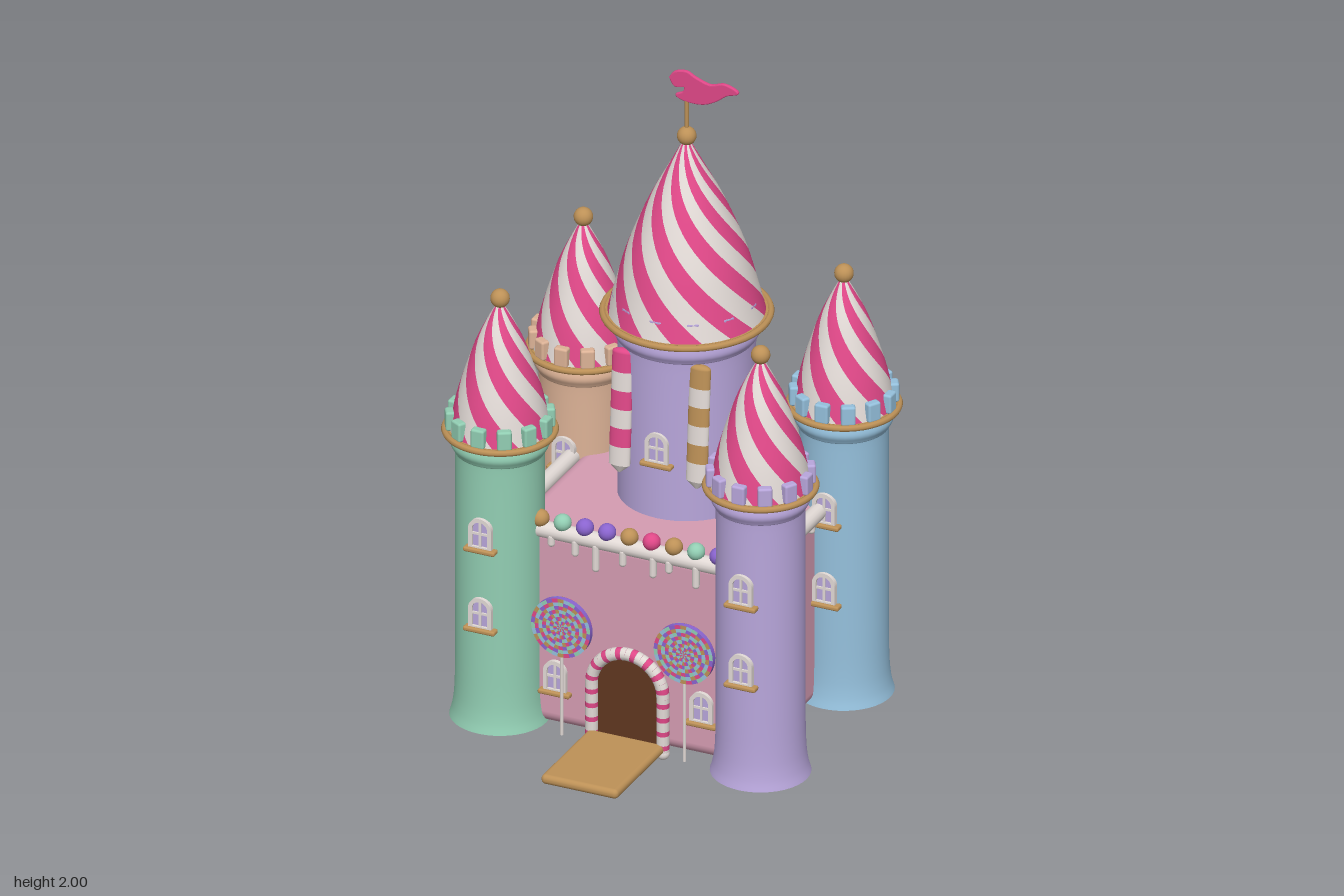
import * as THREE from 'three';
import { mergeGeometries } from 'three/addons/utils/BufferGeometryUtils.js';
import { RoundedBoxGeometry } from 'three/addons/geometries/RoundedBoxGeometry.js';

const colours = {
  candyPink: 0xe04888, cream: 0xe2dad6, gold: 0xbd9157, lilac: 0xb8a6db, mint: 0x92ceb3,
  skyBlue: 0x95c0dc, peach: 0xdcb296, rose: 0xd59cb2, chocolate: 0x603720, violet: 0x8a64cf,
};
const mats = {};
const V2 = (x, y) => new THREE.Vector2(x, y);
const V3 = (x, y, z) => new THREE.Vector3(x, y, z);

function add(parent, name, geo, colour, x = 0, y = 0, z = 0) {
  const m = new THREE.Mesh(geo, mats[colour]);
  m.name = name;
  m.position.set(x, y, z);
  parent.add(m);
  return m;
}
const smooth = (pts, n) => new THREE.SplineCurve(pts.map(p => V2(...p))).getPoints(n);

// Arched outline standing on y = 0
function archShape(w, h, Type = THREE.Shape, y0 = 0) {
  const s = new Type(), r = w / 2;
  s.moveTo(-r, y0);
  s.lineTo(r, y0);
  s.lineTo(r, h - r);
  s.absarc(0, h - r, r, 0, Math.PI, false);
  s.lineTo(-r, y0);
  return s;
}
const extrude = (shape, depth) => new THREE.ExtrudeGeometry(shape, { depth, bevelEnabled: false, curveSegments: 12 });

// Conical roof made of twisted lathe strips in alternating colours
function stripedRoof(parent, profile, pairs, twist) {
  const pts = smooth(profile, 24), y0 = pts[0].y, h = pts[24].y - y0;
  const step = Math.PI / pairs, strips = [[], []];
  for (let i = 0; i < pairs * 2; i++) {
    const g = new THREE.LatheGeometry(pts, 5, i * step, step);
    const p = g.attributes.position, n = g.attributes.normal, v = V3(0, 0, 0), up = V3(0, 1, 0);
    for (let k = 0; k < p.count; k++) {
      const a = twist * (1 - (p.getY(k) - y0) / h);
      v.fromBufferAttribute(p, k).applyAxisAngle(up, a);
      p.setXYZ(k, v.x, v.y, v.z);
      v.fromBufferAttribute(n, k).applyAxisAngle(up, a);
      n.setXYZ(k, v.x, v.y, v.z);
    }
    strips[i % 2].push(g);
  }
  add(parent, 'roofPinkStripes', mergeGeometries(strips[0]), 'candyPink');
  add(parent, 'roofCreamStripes', mergeGeometries(strips[1]), 'cream');
}

// Gold rim and ring of battlements under a roof
function rimAndBattlements(parent, y, radius, blockRadius, colour) {
  add(parent, 'roofRimDisc', new THREE.CylinderGeometry(radius, radius, 0.012, 48), 'gold', 0, y);
  add(parent, 'roofRim', new THREE.TorusGeometry(radius - 0.004, 0.01, 8, 48).rotateX(Math.PI / 2), 'gold', 0, y);
  const blocks = [];
  for (let i = 0; i < 12; i++) {
    const b = new RoundedBoxGeometry(0.042, 0.06, 0.028, 2, 0.007);
    blocks.push(b.translate(0, y + 0.035, blockRadius).rotateY(i * Math.PI / 6));
  }
  add(parent, 'battlements', mergeGeometries(blocks), colour);
}

function archedWindow(parent, x, y, z) {
  const w = new THREE.Group();
  w.name = 'window';
  const frame = archShape(0.072, 0.1);
  frame.holes.push(archShape(0.048, 0.088, THREE.Path, 0.01));
  add(w, 'windowFrame', extrude(frame, 0.022), 'cream', 0, 0, -0.012);
  add(w, 'windowPane', extrude(archShape(0.06, 0.094), 0.008), 'lilac', 0, 0, -0.006);
  add(w, 'windowBarUpright', new THREE.BoxGeometry(0.007, 0.09, 0.008), 'cream', 0, 0.046, 0.003);
  add(w, 'windowBarAcross', new THREE.BoxGeometry(0.055, 0.007, 0.008), 'cream', 0, 0.05, 0.003);
  add(w, 'windowSill', new RoundedBoxGeometry(0.1, 0.015, 0.03, 2, 0.006), 'gold', 0, -0.002, 0.004);
  w.position.set(x, y, z);
  parent.add(w);
}

function cornerTower(parent, x, z, colour) {
  const t = new THREE.Group();
  t.name = 'cornerTower';
  const body = [[0.145, 0.025], [0.136, 0.06], [0.13, 0.12], [0.128, 0.25], [0.128, 0.6], [0.128, 0.85],
    [0.132, 0.875], [0.142, 0.895], [0.142, 0.912], [0.134, 0.935]];
  add(t, 'towerWall', new THREE.LatheGeometry(smooth(body, 40), 40), colour);
  rimAndBattlements(t, 0.938, 0.162, 0.143, colour);
  stripedRoof(t, [[0.146, 0.94], [0.126, 1.04], [0.1, 1.13], [0.069, 1.22], [0.036, 1.29], [0.006, 1.345]], 6, 2.4);
  add(t, 'roofBall', new THREE.SphereGeometry(0.028, 20, 14), 'gold', 0, 1.355);
  for (const y of [0.355, 0.61]) archedWindow(t, 0, y, 0.128);
  t.position.set(x, 0, z);
  parent.add(t);
}

function mainTower(parent) {
  const t = new THREE.Group();
  t.name = 'mainTower';
  const body = [[0.22, 0.025], [0.208, 0.07], [0.2, 0.15], [0.198, 0.4], [0.198, 0.8], [0.198, 1.13],
    [0.203, 1.16], [0.213, 1.18], [0.213, 1.2], [0.205, 1.23]];
  add(t, 'mainTowerWall', new THREE.LatheGeometry(smooth(body, 40), 48), 'lilac');
  rimAndBattlements(t, 1.23, 0.244, 0.198, 'lilac');
  stripedRoof(t, [[0.226, 1.235], [0.204, 1.32], [0.176, 1.42], [0.14, 1.515], [0.1, 1.605], [0.055, 1.69], [0.01, 1.775]], 8, 2.6);
  add(t, 'mainRoofBall', new THREE.SphereGeometry(0.028, 20, 14), 'gold', 0, 1.79);
  add(t, 'flagPole', new THREE.CylinderGeometry(0.006, 0.006, 0.14, 10), 'gold', 0, 1.87);
  // Curling flag
  const outline = [[-0.05, 1.967], [-0.034, 1.987], [0, 1.994], [0.03, 1.98], [0.075, 1.967], [0.12, 1.978], [0.16, 1.962],
    [0.125, 1.948], [0.09, 1.922], [0.05, 1.905], [0, 1.904], [-0.03, 1.915], [-0.008, 1.928], [-0.005, 1.948], [-0.035, 1.945]];
  const flag = new THREE.Shape();
  flag.moveTo(...outline[0]);
  flag.splineThru([...outline.slice(1), outline[0]].map(p => V2(...p)));
  add(t, 'flag', new THREE.ExtrudeGeometry(flag, { depth: 0.004, curveSegments: 48, bevelThickness: 0.004, bevelSize: 0.004, bevelSegments: 3 }), 'candyPink', 0, 0, -0.002);
  archedWindow(t, 0, 0.83, 0.196);
  // Striped candy banners with pointed ends
  for (const [x, colour] of [[-0.123, 'candyPink'], [0.12, 'gold']]) {
    const b = new THREE.Group();
    b.name = 'candyBanner';
    for (let i = 0; i < 6; i++)
      add(b, 'bannerBand', new THREE.CylinderGeometry(0.033, 0.033, 0.058, 20, 1), i % 2 ? 'cream' : colour, 0, -0.029 - i * 0.058);
    add(b, 'bannerTop', new THREE.SphereGeometry(0.033, 20, 8, 0, Math.PI * 2, 0, Math.PI / 2).scale(1, 0.4, 1), colour);
    add(b, 'bannerTip', new THREE.CylinderGeometry(0.033, 0.004, 0.025, 20), 'cream', 0, -0.36);
    b.scale.z = 0.5;
    b.position.set(x, 1.145, 0.164);
    b.rotation.x = -0.07;
    t.add(b);
  }
  t.position.z = -0.19;
  parent.add(t);
}

// Flat sweet with a spiral mosaic on both faces
function lollipop(parent, x) {
  const l = new THREE.Group(), R = 0.093, rings = 8, sectors = 30;
  l.name = 'lollipop';
  const names = ['skyBlue', 'gold', 'candyPink', 'violet', 'mint'], cells = names.map(() => []);
  for (let i = 0; i < rings; i++) for (let j = 0; j < sectors; j++) {
    const a = j / sectors * Math.PI * 2;
    const c = new THREE.RingGeometry(R * i / rings, R * (i + 1) / rings, 2, 1, a, Math.PI * 2 / sectors);
    const k = (j + i * 2) % names.length;
    cells[k].push(c.clone().translate(0, 0, 0.0085), c.rotateY(Math.PI).translate(0, 0, -0.0085));
  }
  names.forEach((n, k) => add(l, 'lollipopSwirl', mergeGeometries(cells[k]), n));
  add(l, 'lollipopEdge', new THREE.CylinderGeometry(R, R, 0.016, 40).rotateX(Math.PI / 2), 'violet');
  add(l, 'lollipopStick', new THREE.CylinderGeometry(0.005, 0.005, 0.27, 8), 'cream', 0, -0.21);
  l.position.set(x, 0.37, 0.235);
  parent.add(l);
}

function keep(parent) {
  add(parent, 'keepWalls', new RoundedBoxGeometry(0.75, 0.63, 0.54, 4, 0.04), 'rose', 0, 0.34, -0.075);
  // Icing along the top edges, with drips
  const bar = (len, alongX) => new THREE.CapsuleGeometry(0.025, len, 6, 16)[alongX ? 'rotateZ' : 'rotateX'](Math.PI / 2);
  for (const z of [-0.367, 0.19]) add(parent, 'icingEdge', bar(0.78, true), 'cream', 0, 0.647, z);
  for (const s of [-1, 1]) add(parent, 'icingEdge', bar(0.55, false), 'cream', s * 0.39, 0.647, -0.09);
  const drip = (x, z, len) => add(parent, 'icingDrip', new THREE.CapsuleGeometry(0.011, len, 4, 10), 'cream', x, 0.635 - len / 2, z);
  [[-0.24, 0.02], [-0.165, 0.035], [-0.1, 0.07], [-0.015, 0.035], [0.08, 0.05], [0.13, 0.025], [0.215, 0.055]].forEach(([x, len]) => {
    drip(x, 0.205, len);
    if (Math.abs(x) > 0.11) drip(x, -0.365, len);
  });
  for (const s of [-1, 1]) [[-0.2, 0.03], [-0.085, 0.075], [-0.02, 0.03], [0.03, 0.04]].forEach(([z, len]) => drip(s * 0.388, z, len));
  // Row of sweets over the entrance
  ['gold', 'mint', 'violet', 'violet', 'gold', 'candyPink', 'gold', 'mint', 'violet'].forEach((c, i) =>
    add(parent, 'sweetBall', new THREE.SphereGeometry(0.026, 20, 14), c, (i - 4) * 0.07, 0.682, 0.193));
  for (const s of [-1, 1]) {
    archedWindow(parent, s * 0.23, 0.138, 0.197);
    lollipop(parent, s * 0.193);
  }
}

function entrance(parent) {
  add(parent, 'door', extrude(archShape(0.2, 0.27), 0.015), 'chocolate', 0, 0.03, 0.192);
  // Striped candy arch
  const path = new THREE.CurvePath(), r = 0.112, top = 0.2, z = 0.207;
  path.add(new THREE.LineCurve3(V3(-r, 0.02, z), V3(-r, top, z)));
  path.add(new THREE.CatmullRomCurve3(Array.from({ length: 17 }, (_, i) => {
    const a = Math.PI * (1 - i / 16);
    return V3(r * Math.cos(a), top + r * Math.sin(a), z);
  })));
  path.add(new THREE.LineCurve3(V3(r, top, z), V3(r, 0.02, z)));
  const n = 48, bands = [[], []];
  for (let i = 0; i < n; i++) {
    const c = new THREE.CatmullRomCurve3([0, 0.5, 1].map(k => path.getPointAt((i + k) / n)));
    bands[i % 3 === 1 ? 0 : 1].push(new THREE.TubeGeometry(c, 3, 0.019, 12));
  }
  add(parent, 'archPinkBands', mergeGeometries(bands[0]), 'candyPink');
  add(parent, 'archCreamBands', mergeGeometries(bands[1]), 'cream');
  for (const s of [-1, 1]) add(parent, 'archEnd', new THREE.SphereGeometry(0.02, 16, 10), 'cream', s * r, 0.02, z);
  add(parent, 'drawbridge', new RoundedBoxGeometry(0.242, 0.03, 0.325, 4, 0.014), 'gold', 0, 0.037, 0.372);
}

export function createModel() {
  for (const [name, color] of Object.entries(colours)) {
    mats[name] = new THREE.MeshStandardMaterial({ color, side: THREE.DoubleSide });
    mats[name].name = name;
  }
  const castle = new THREE.Group();
  castle.name = 'candyCastle';
  keep(castle);
  entrance(castle);
  mainTower(castle);
  cornerTower(castle, -0.41, 0.187, 'mint');
  cornerTower(castle, 0.41, 0.187, 'lilac');
  cornerTower(castle, 0.41, -0.37, 'skyBlue');
  cornerTower(castle, -0.41, -0.37, 'peach');
  return castle;
}
